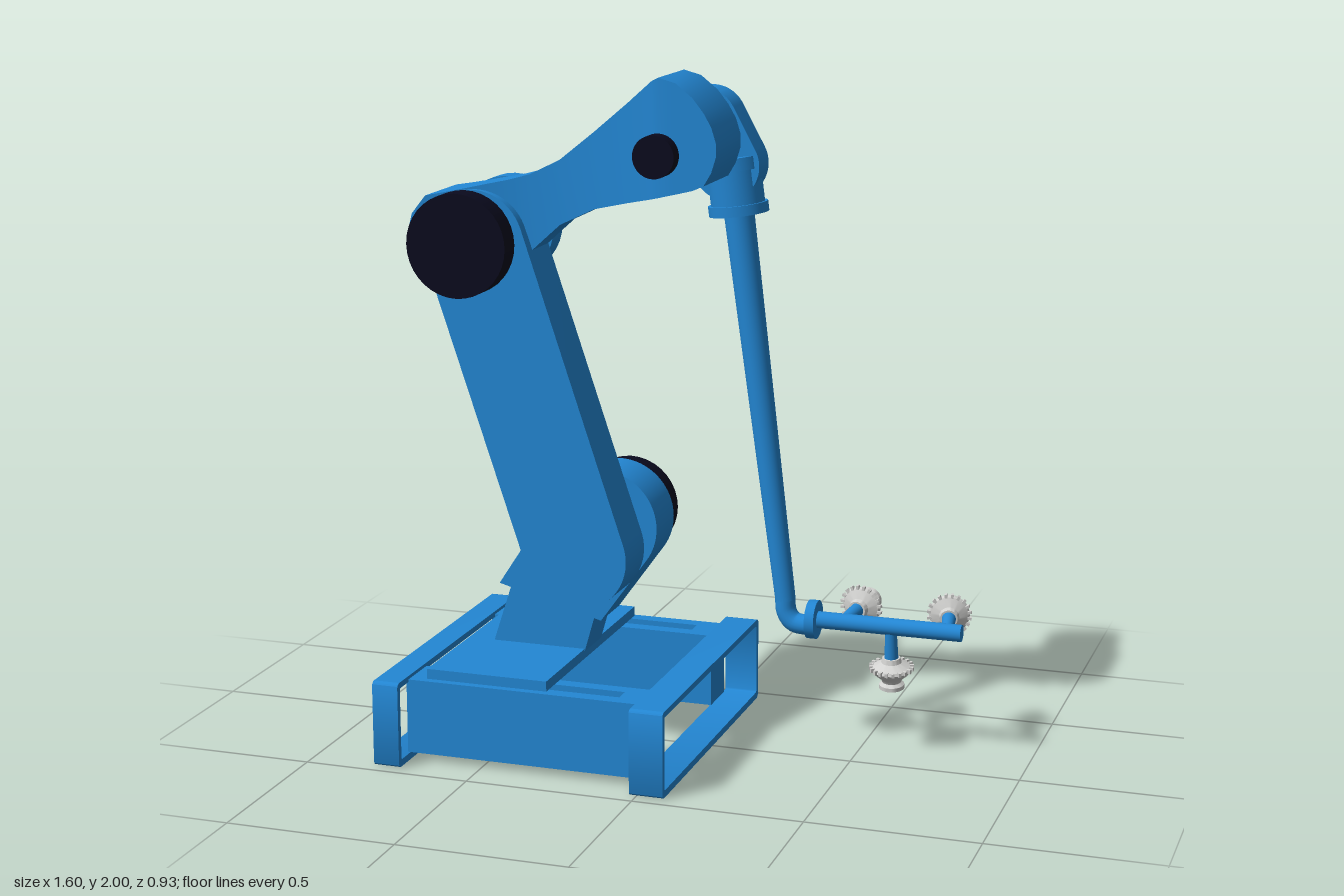
import * as THREE from 'three';
import { toCreasedNormals } from 'three/addons/utils/BufferGeometryUtils.js';

const V = (x, y, z) => new THREE.Vector3(x, y, z);
const UP = V(0, 1, 0);

export function createModel() {
  const model = new THREE.Group();
  model.name = 'robotArm';
  const paint = (name, color) => {
    const m = new THREE.MeshStandardMaterial({ color });
    m.name = name;
    return m;
  };
  const blue = paint('blue', 0x2387d4);
  const black = paint('black', 0x0a0a1e);
  const grey = paint('lightGrey', 0xd2d2d0);

  const add = (name, geometry, material = blue, parent = model) => {
    const mesh = new THREE.Mesh(geometry, material);
    mesh.name = name;
    parent.add(mesh);
    return mesh;
  };
  const extrude = (shape, depth) => toCreasedNormals(
    new THREE.ExtrudeGeometry(shape, { depth, bevelEnabled: false, curveSegments: 20 }), 0.6);
  // plate drawn in the x-y plane, running from z0 to z1
  const slab = (name, shape, z0, z1, material) => {
    const mesh = add(name, extrude(shape, z1 - z0), material);
    mesh.position.z = z0;
    return mesh;
  };
  // straight, optionally tapered, rod between two points
  const rod = (name, a, b, r0, r1 = r0, material = blue) => {
    const dir = b.clone().sub(a);
    const mesh = add(name, new THREE.CylinderGeometry(r1, r0, dir.length(), 36), material);
    mesh.position.copy(a).addScaledVector(dir, 0.5);
    mesh.quaternion.setFromUnitVectors(UP, dir.normalize());
    return mesh;
  };
  const disc = (name, x, y, r, z0, z1, material) =>
    rod(name, V(x, y, z0), V(x, y, z1), r, r, material);
  const polygon = (pts) => new THREE.Shape(pts.map(([x, y]) => new THREE.Vector2(x, y)));
  // outline around two equal circles
  const capsule = (ax, ay, bx, by, r) => {
    const a = Math.atan2(by - ay, bx - ax), q = Math.PI / 2;
    return new THREE.Shape()
      .absarc(bx, by, r, a - q, a + q, false)
      .absarc(ax, ay, r, a + q, a + 3 * q, false);
  };
  const roundRect = (path, w, y0, y1, r) => {
    path.absarc(w - r, y0 + r, r, -Math.PI / 2, 0, false);
    path.absarc(w - r, y1 - r, r, 0, Math.PI / 2, false);
    path.absarc(-w + r, y1 - r, r, Math.PI / 2, Math.PI, false);
    path.absarc(-w + r, y0 + r, r, Math.PI, Math.PI * 1.5, false);
    path.closePath();
    return path;
  };

  // base: two hollow end frames
  for (const [name, x0, x1] of [['rearFrame', -0.803, -0.724], ['frontFrame', -0.02, 0.08]]) {
    const shape = roundRect(new THREE.Shape(), 0.465, 0.003, 0.258, 0.015);
    shape.holes.push(roundRect(new THREE.Path(), 0.447, 0.024, 0.24, 0.006));
    const frame = add(name, extrude(shape, x1 - x0));
    frame.rotation.y = Math.PI / 2;
    frame.position.x = x0;
  }
  // base: slotted rails between the frames
  for (const [name, z] of [['leftRail', 0.32], ['rightRail', -0.347]]) {
    const shape = polygon([[-0.73, -0.066], [-0.015, -0.066], [-0.015, 0.066], [-0.73, 0.066]]);
    shape.holes.push(polygon([[-0.655, -0.024], [-0.655, 0.024], [-0.09, 0.024], [-0.09, -0.024]]));
    const rail = add(name, extrude(shape, 0.222));
    rail.rotation.x = -Math.PI / 2;
    rail.position.set(0, 0.026, z);
  }
  add('mountingPlate', new THREE.BoxGeometry(0.37, 0.03, 0.765)).position.set(-0.49, 0.263, -0.02);

  // leaning pedestal and shoulder housing
  slab('pedestal', polygon([[-0.595, 0.27], [-0.305, 0.27], [-0.262, 0.42], [-0.524, 0.49]]), -0.098, 0.045);
  const lean = Math.atan2(0.81, 0.585);
  const shoulder = new THREE.Shape();
  shoulder.absarc(-0.24, 0.667, 0.164, lean - Math.PI / 2, lean + Math.PI / 2, false);
  shoulder.lineTo(-0.57, 0.46);
  shoulder.lineTo(-0.25, 0.373);
  slab('shoulderHousing', shoulder, -0.105, 0.053);
  disc('shoulderShaft', -0.24, 0.67, 0.057, -0.14, 0.09);
  disc('shoulderMotor', -0.24, 0.67, 0.146, -0.198, -0.132, black);

  // lower arm and elbow joint
  slab('lowerArm', capsule(-0.262, 0.614, -0.562, 1.51, 0.155), 0.075, 0.235);
  disc('elbowShaft', -0.557, 1.525, 0.06, -0.02, 0.3);
  disc('elbowMotor', -0.557, 1.525, 0.148, 0.298, 0.371, black);
  disc('elbowCap', -0.557, 1.525, 0.145, -0.088, -0.016);

  // upper arm: rectangular sections along x as [x, bottom, top], waisted in depth
  const sections = [
    [-0.751, 1.505, 1.54], [-0.738, 1.46, 1.592], [-0.696, 1.395, 1.645], [-0.638, 1.352, 1.656],
    [-0.59, 1.34, 1.666], [-0.526, 1.364, 1.68], [-0.46, 1.43, 1.694], [-0.4, 1.491, 1.711],
    [-0.31, 1.572, 1.755], [-0.204, 1.623, 1.838], [-0.098, 1.648, 1.924], [-0.02, 1.665, 1.99],
    [0.0, 1.67, 2.0], [0.05, 1.682, 1.986], [0.098, 1.694, 1.948], [0.13, 1.708, 1.908],
    [0.152, 1.745, 1.87], [0.166, 1.79, 1.825],
  ].map(([x, lo, hi]) => {
    const u = THREE.MathUtils.clamp((x + 0.7) / 0.7, 0, 1);
    const h = 0.114 - 0.055 * Math.sin(Math.PI * u);
    return [[x, lo, 0.14 + h], [x, lo, 0.14 - h], [x, hi, 0.14 - h], [x, hi, 0.14 + h]];
  });
  const verts = [];
  const quad = (a, b, c, d) => verts.push(...a, ...b, ...c, ...a, ...c, ...d);
  for (let i = 0; i < sections.length - 1; i++) {
    const s = sections[i], t = sections[i + 1];
    for (let k = 0; k < 4; k++) quad(s[k], s[(k + 1) % 4], t[(k + 1) % 4], t[k]);
  }
  const first = sections[0], last = sections[sections.length - 1];
  quad(first[3], first[2], first[1], first[0]);
  quad(...last);
  const upper = new THREE.BufferGeometry();
  upper.setAttribute('position', new THREE.Float32BufferAttribute(verts, 3));
  add('upperArm', toCreasedNormals(upper, 0.6));

  // wrist joint
  disc('wristShaft', 0, 1.788, 0.06, -0.193, 0.3, black);
  slab('wristKnuckle', capsule(0.09, 1.72, 0.025, 1.84, 0.1), -0.17, -0.076);

  // forearm hanging from a flanged collar
  const top = V(0.097, 1.742, -0.12), low = V(0.118, 1.578, -0.12);
  const along = (t) => top.clone().lerp(low, t);
  rod('collar', top, low, 0.078);
  rod('collarTopFlange', along(0), along(0.22), 0.087);
  rod('collarLowerFlange', along(0.82), along(1), 0.087);
  rod('forearm', low, V(0.268, 0.44, -0.112), 0.044, 0.03);
  const bend = new THREE.CatmullRomCurve3([
    V(0.267, 0.45, -0.112), V(0.272, 0.405, -0.111), V(0.295, 0.376, -0.109), V(0.35, 0.37, -0.106)]);
  add('forearmBend', new THREE.TubeGeometry(bend, 16, 0.03, 20));
  rod('toolFlange', V(0.343, 0.392, -0.1), V(0.371, 0.392, -0.1), 0.057);
  rod('toolBar', V(0.36, 0.391, -0.103), V(0.8, 0.391, -0.103), 0.025);

  // suction cups with toothed rims
  const profile = [[0, 0], [0.026, 0], [0.03, 0.014], [0.056, 0.028], [0.06, 0.036], [0.05, 0.05],
    [0.032, 0.066], [0.028, 0.076], [0.037, 0.084], [0.037, 0.096], [0.026, 0.098], [0.016, 0.08], [0, 0.078]]
    .map(([r, y]) => new THREE.Vector2(r, y));
  const cupGeometry = toCreasedNormals(new THREE.LatheGeometry(profile, 28), 0.5);
  const toothGeometry = new THREE.BoxGeometry(0.012, 0.012, 0.008);
  const cups = [
    [0.445, V(0.18, 0.1, -1)], [0.59, V(0, -1, -0.12)], [0.757, V(-0.18, 0.1, -1)],
  ];
  cups.forEach(([x, dir], i) => {
    dir.normalize();
    const start = V(x, 0.391, -0.103);
    const seat = start.clone().addScaledVector(dir, 0.098);
    rod('cupStem' + (i + 1), start, seat.clone().addScaledVector(dir, 0.01), 0.016, 0.021);
    const cup = new THREE.Group();
    cup.name = 'suctionCup' + (i + 1);
    cup.position.copy(seat);
    cup.quaternion.setFromUnitVectors(UP, dir);
    add('cupBody', cupGeometry, grey, cup);
    for (let k = 0; k < 20; k++) {
      const a = k / 20 * Math.PI * 2;
      const tooth = add('rimTooth', toothGeometry, grey, cup);
      tooth.position.set(Math.cos(a) * 0.06, 0.031, -Math.sin(a) * 0.06);
      tooth.rotation.y = a;
    }
    model.add(cup);
  });
  return model;
}
